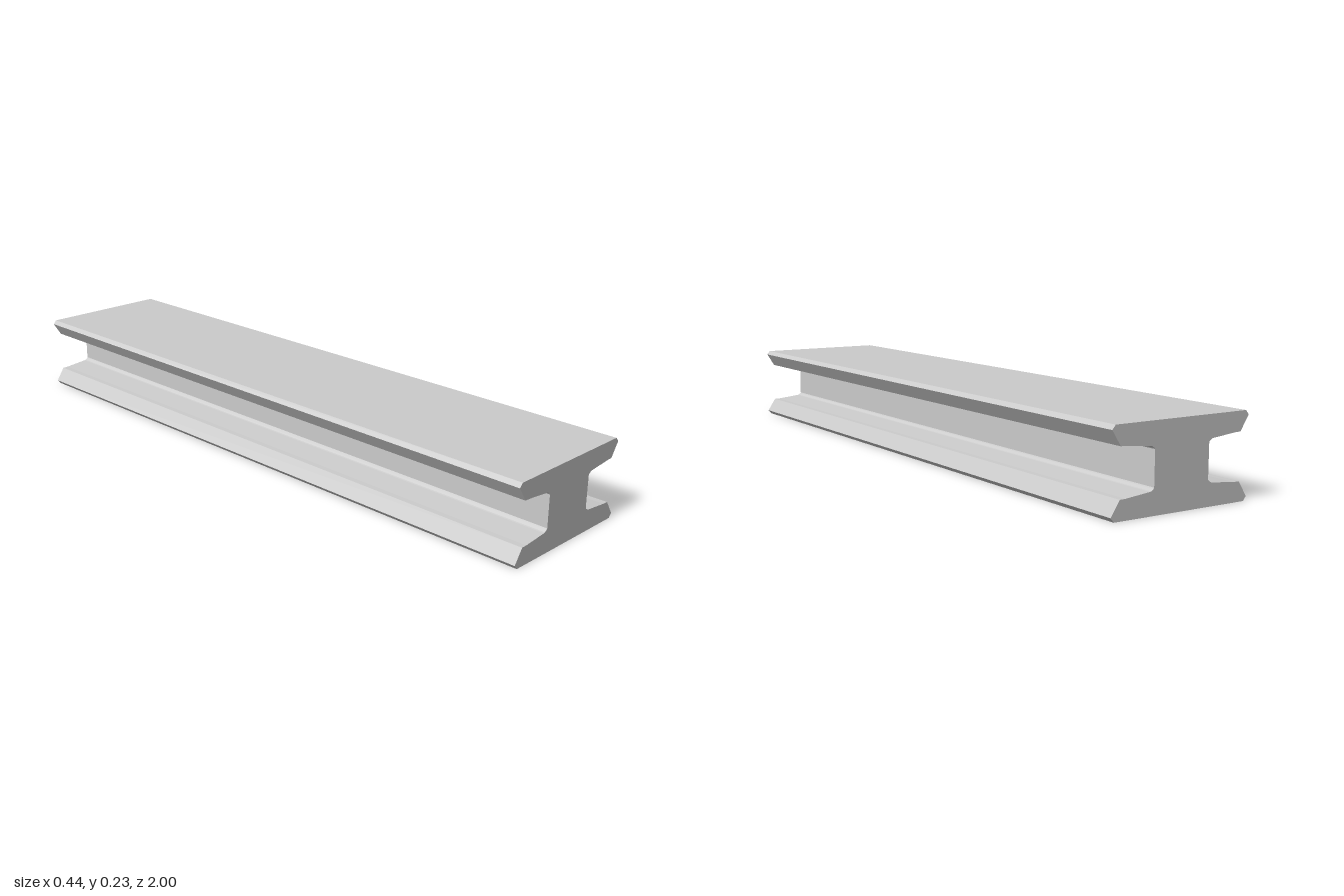
import * as THREE from 'three';

const HALF_HEIGHT = 0.117;
const LENGTH = 2;

// Upper right quarter of the beam section, from the web to the top face,
// with heights measured from the middle of the web
const QUARTER = [
  [0.088, 0.047], // web
  [0.09, 0.05],
  [0.097, 0.055], // fillet
  [0.101, 0.056],
  [0.176, 0.0635], // sloping inner face of the flange
  [0.194, 0.064],
  [0.221, 0.105], // slanted flange edge
  [0.211, HALF_HEIGHT], // chamfer
];

export function createModel() {
  const group = new THREE.Group();
  group.name = 'flangedBeam';

  // Mirror the quarter up/down, then left/right, into a counter-clockwise outline
  const mirror = (points, sx, sy) => points.map(([x, y]) => [x * sx, y * sy]).reverse();
  const rightSide = [...mirror(QUARTER, 1, -1), ...QUARTER];
  const outline = [...rightSide, ...mirror(rightSide, -1, 1)];
  const section = new THREE.Shape(outline.map(([x, y]) => new THREE.Vector2(x, y + HALF_HEIGHT)));

  // Extrude the section along the length
  const geometry = new THREE.ExtrudeGeometry(section, { depth: LENGTH, bevelEnabled: false });
  geometry.translate(0, 0, -LENGTH / 2);

  const beam = new THREE.Mesh(
    geometry,
    new THREE.MeshStandardMaterial({ color: 0xcccccc, flatShading: true })
  );
  beam.name = 'beam';
  group.add(beam);
  return group;
}
